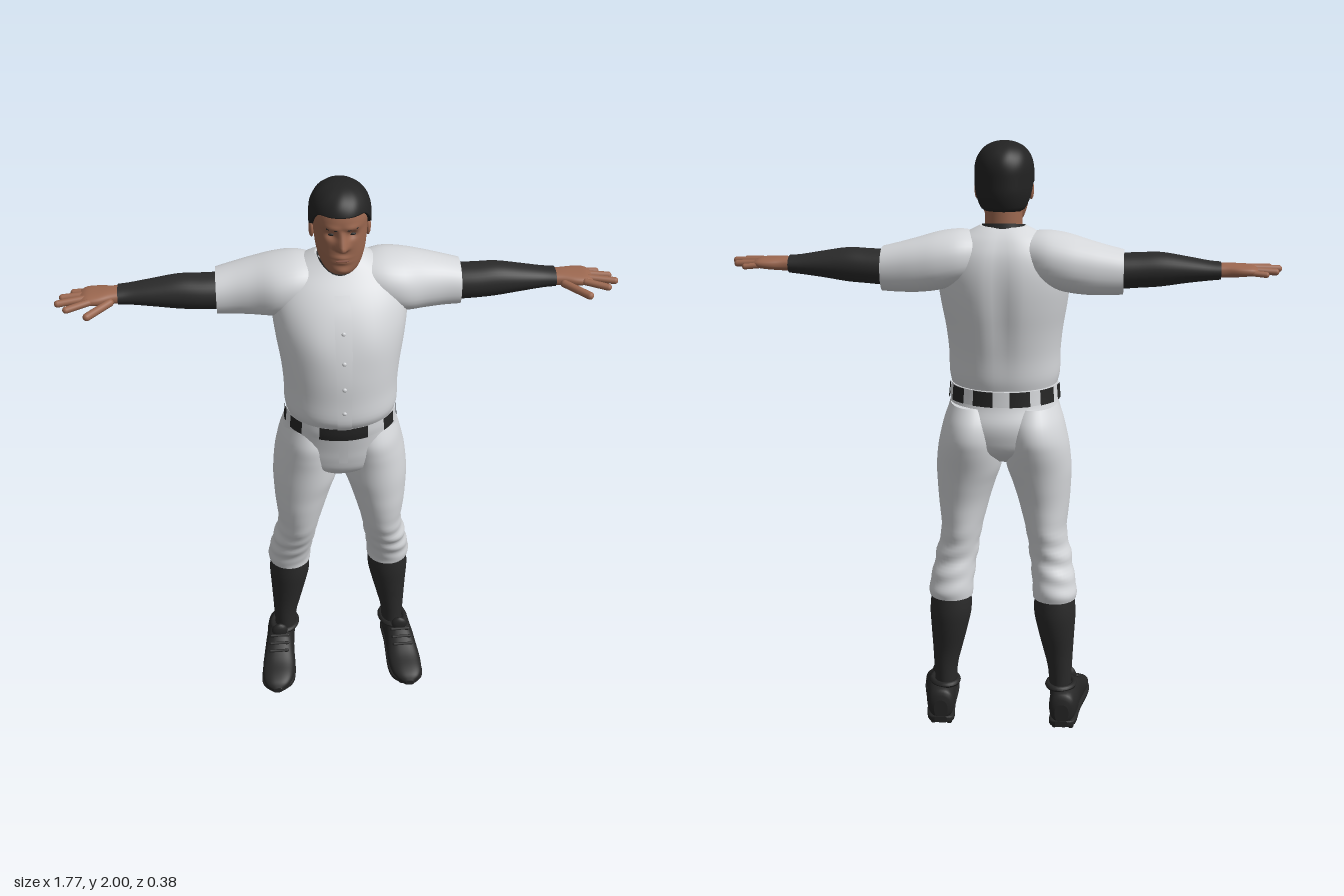
import * as THREE from 'three';

const mat = (name, color) => Object.assign(new THREE.MeshStandardMaterial({ color }), { name });
const cloth = mat('white cloth', 0xd6d8db);
const dark = mat('black knit', 0x2a2a2a);
const leather = mat('black leather', 0x252525);
const hairMat = mat('dark hair', 0x222222);
const skin = mat('skin', 0x9c6850);
const lipMat = mat('lips', 0x8a5545);

const gauss = (d, w) => Math.exp(-(d * d) / (w * w));

// Smoothly interpolates the rows of numbers that describe a cross-section.
function smoothRows(rows, sub) {
  const out = [];
  for (let i = 0; i < rows.length - 1; i++) {
    const [a, b, c, d] = [rows[Math.max(i - 1, 0)], rows[i], rows[i + 1], rows[Math.min(i + 2, rows.length - 1)]];
    for (let k = 0; k < sub; k++) {
      const t = k / sub;
      out.push(b.map((_, j) => b[j] + 0.5 * t * (c[j] - a[j] + t * (2 * a[j] - 5 * b[j] + 4 * c[j] - d[j]
        + t * (3 * (b[j] - c[j]) + d[j] - a[j])))));
    }
  }
  out.push(rows[rows.length - 1]);
  return out;
}

// Skins superelliptic sections along an axis. Row: [position, uMin, uMax, vMin, vMax];
// u, v are x, z for axis y; y, z for axis x; x, y for axis z.
function loft(axis, rows, { n = 2, seg = 36, sub = 4, from = 0, to = Math.PI * 2, grow = 0, rule, cap = true } = {}) {
  const place = { x: (p, u, v) => [p, u, v], y: (p, u, v) => [u, p, v], z: (p, u, v) => [u, v, p] }[axis];
  const list = smoothRows(rows, sub), pos = [], idx = [];
  const tri = (a, b, c) => (axis === 'y' ? idx.push(a, c, b) : idx.push(a, b, c));
  const sp = (c) => Math.sign(c) * Math.abs(c) ** (2 / n);
  const put = (p, u, v) => {
    const q = new THREE.Vector3(...place(p, u, v));
    if (rule) rule(q);
    pos.push(q.x, q.y, q.z);
  };
  const ring = ([p, u0, u1, v0, v1]) => {
    for (let j = 0; j <= seg; j++) {
      const a = from + (to - from) * j / seg;
      put(p, (u0 + u1) / 2 + ((u1 - u0) / 2 + grow) * sp(Math.cos(a)),
        (v0 + v1) / 2 + ((v1 - v0) / 2 + grow) * sp(Math.sin(a)));
    }
  };
  list.forEach(ring);
  const w = seg + 1;
  for (let i = 0; i < list.length - 1; i++) {
    for (let j = 0; j < seg; j++) {
      const a = i * w + j;
      tri(a, a + 1, a + w + 1);
      tri(a, a + w + 1, a + w);
    }
  }
  if (cap) {
    for (const end of [0, 1]) {
      const r = list[end ? list.length - 1 : 0], base = pos.length / 3;
      ring(r);
      put(r[0], (r[1] + r[2]) / 2, (r[3] + r[4]) / 2);
      for (let j = 0; j < seg; j++) {
        if (end) tri(base + w, base + j, base + j + 1);
        else tri(base + w, base + j + 1, base + j);
      }
    }
  }
  const g = new THREE.BufferGeometry();
  g.setAttribute('position', new THREE.Float32BufferAttribute(pos, 3));
  g.setIndex(idx);
  g.computeVertexNormals();
  // Weld the normals along the seam of closed rings
  if (to - from > 6.28) {
    const N = g.attributes.normal, a = new THREE.Vector3(), b = new THREE.Vector3();
    for (let i = 0; i < list.length; i++) {
      a.fromBufferAttribute(N, i * w).add(b.fromBufferAttribute(N, i * w + seg)).normalize();
      N.setXYZ(i * w, a.x, a.y, a.z);
      N.setXYZ(i * w + seg, a.x, a.y, a.z);
    }
  }
  return g;
}

function mirrored(geo) {
  const g = geo.clone().scale(-1, 1, 1), ix = g.index.array;
  for (let i = 0; i < ix.length; i += 3) [ix[i], ix[i + 1]] = [ix[i + 1], ix[i]];
  const N = g.attributes.normal;
  const P = geo.attributes.normal;
  for (let i = 0; i < N.count; i++) N.setXYZ(i, -P.getX(i), P.getY(i), P.getZ(i));
  return g;
}

// Tapered rounded rod between two points
function rod(a, b, r) {
  const A = new THREE.Vector3(...a), d = new THREE.Vector3(...b).sub(A);
  const g = new THREE.CapsuleGeometry(r, d.length() - r, 6, 12);
  g.applyQuaternion(new THREE.Quaternion().setFromUnitVectors(new THREE.Vector3(0, 1, 0), d.clone().normalize()));
  return g.translate(A.x + d.x / 2, A.y + d.y / 2, A.z + d.z / 2);
}
const blob = (x, y, z, sx, sy, sz) => new THREE.SphereGeometry(1, 16, 10).scale(sx, sy, sz).translate(x, y, z);
const sym = (rows) => rows.map(([y, h, b, f]) => [y, -h, h, b, f]);

export function createModel() {
  const model = new THREE.Group();
  const add = (name, geo, m) => {
    const mesh = new THREE.Mesh(geo, m);
    mesh.name = name;
    model.add(mesh);
  };
  const pair = (name, geo, m) => {
    add(name + 'Left', geo, m);
    add(name + 'Right', mirrored(geo), m);
  };

  // Jersey with button strip
  const torso = sym([[1.215, 0.176, -0.145, 0.165], [1.25, 0.183, -0.152, 0.18], [1.32, 0.184, -0.158, 0.178],
    [1.4, 0.192, -0.17, 0.175], [1.48, 0.205, -0.182, 0.162], [1.55, 0.213, -0.187, 0.14], [1.61, 0.21, -0.184, 0.11],
    [1.66, 0.19, -0.172, 0.072], [1.7, 0.15, -0.15, 0.03], [1.725, 0.105, -0.128, 0.008], [1.74, 0.075, -0.108, -0.005]]);
  const chest = (q) => {
    if (q.z > 0) q.z += 0.007 * gauss(Math.abs(q.x) - 0.09, 0.06) * gauss(q.y - 1.52, 0.08);
    else q.z += 0.014 * gauss(q.x, 0.035) * gauss(q.y - 1.5, 0.2);
  };
  add('jerseyBody', loft('y', torso, { seg: 56, n: 2.1, rule: chest }), cloth);
  add('buttonStrip', loft('y', torso.slice(0, 8), { from: 1.46, to: 1.68, seg: 6, grow: 0.006, n: 2.1, cap: false }), cloth);
  [[1.29, 0.185], [1.38, 0.183], [1.47, 0.172], [1.56, 0.141]].forEach(([y, z]) =>
    add('button', blob(0, y, z, 0.007, 0.007, 0.005), cloth));

  // Sleeves and arms
  pair('sleeve', loft('x', [[0.06, 1.58, 1.715, -0.14, 0.02], [0.13, 1.555, 1.727, -0.175, 0.045],
    [0.2, 1.535, 1.72, -0.184, 0.045], [0.27, 1.528, 1.702, -0.178, 0.015], [0.33, 1.528, 1.686, -0.168, -0.002],
    [0.385, 1.53, 1.672, -0.158, -0.008]], { n: 2.2 }), cloth);
  pair('undersleeve', loft('x', [[0.36, 1.545, 1.66, -0.14, -0.015], [0.43, 1.55, 1.662, -0.135, -0.012],
    [0.5, 1.555, 1.664, -0.13, -0.015], [0.58, 1.567, 1.652, -0.122, -0.022], [0.65, 1.576, 1.64, -0.115, -0.03],
    [0.69, 1.58, 1.636, -0.112, -0.03]]), dark);

  // Hands
  pair('palm', loft('x', [[0.67, 1.587, 1.63, -0.105, -0.036], [0.71, 1.587, 1.631, -0.105, -0.03],
    [0.75, 1.59, 1.629, -0.113, -0.018], [0.785, 1.594, 1.626, -0.112, -0.016], [0.805, 1.603, 1.618, -0.1, -0.025]],
  { n: 2.5 }), skin);
  [['indexFinger', [0.775, 1.612, -0.024], [0.852, 1.606, 0.01], 0.011],
    ['middleFinger', [0.78, 1.613, -0.047], [0.88, 1.608, -0.026], 0.0115],
    ['ringFinger', [0.775, 1.611, -0.073], [0.868, 1.605, -0.067], 0.011],
    ['littleFinger', [0.765, 1.608, -0.098], [0.835, 1.602, -0.103], 0.0095],
    ['thumb', [0.71, 1.605, -0.032], [0.787, 1.597, 0.043], 0.0125]]
    .forEach(([name, a, b, r]) => pair(name, rod(a, b, r), skin));

  // Hips, belt and trouser legs
  const hips = sym([[0.95, 0.1, -0.07, 0.06], [1.0, 0.19, -0.145, 0.112], [1.05, 0.205, -0.165, 0.128],
    [1.1, 0.195, -0.168, 0.136], [1.15, 0.181, -0.15, 0.145], [1.19, 0.175, -0.142, 0.152], [1.225, 0.172, -0.14, 0.15]]);
  add('trouserHips', loft('y', hips, { seg: 48 }), cloth);
  const band = sym([[1.162, 0.179, -0.148, 0.151], [1.185, 0.177, -0.146, 0.155], [1.212, 0.175, -0.144, 0.156]]);
  add('beltLoops', loft('y', band, { grow: 0.003, seg: 48 }), cloth);
  [[0, 0.44], [0.98, 0.17], [1.6, 0.24], [2.2, 0.19], [2.8, 0.19], [-0.98, 0.17], [-1.6, 0.24], [-2.2, 0.19], [-2.8, 0.19]]
    .forEach(([c, h]) => add('beltSegment', loft('y', band,
      { from: Math.PI / 2 + c - h, to: Math.PI / 2 + c + h, seg: 12, grow: 0.007, cap: false }), leather));
  add('fly', loft('y', hips.slice(2, 5), { from: 1.5, to: 1.64, seg: 4, grow: 0.005, cap: false }), cloth);
  const folds = (q) => {
    const k = 0.004 * gauss(q.y - 0.6, 0.1) * Math.sin(q.y * 95 + q.x * 25);
    q.z += k * Math.sign(q.z + 0.05) * Math.min(1, Math.abs(q.z + 0.05) / 0.03);
    q.x += k * 0.6;
  };
  pair('trouserLeg', loft('y', [[0.472, 0.104, 0.25, -0.15, 0], [0.5, 0.102, 0.253, -0.152, 0.004],
    [0.55, 0.098, 0.243, -0.14, 0.022], [0.62, 0.088, 0.23, -0.122, 0.052], [0.7, 0.075, 0.214, -0.127, 0.085],
    [0.8, 0.05, 0.222, -0.131, 0.105], [0.87, 0.029, 0.226, -0.143, 0.112], [0.93, 0.009, 0.227, -0.157, 0.118],
    [1, 0.001, 0.22, -0.178, 0.122], [1.05, 0.002, 0.21, -0.186, 0.126], [1.1, 0.006, 0.197, -0.174, 0.126],
    [1.15, 0.02, 0.178, -0.14, 0.11]], { rule: folds, sub: 6 }), cloth);

  // Stockings
  pair('stocking', loft('y', [[0.1, 0.165, 0.235, -0.12, -0.03], [0.2, 0.158, 0.24, -0.124, -0.028],
    [0.27, 0.142, 0.243, -0.13, -0.024], [0.35, 0.122, 0.247, -0.145, -0.014], [0.42, 0.108, 0.25, -0.152, -0.006],
    [0.49, 0.11, 0.244, -0.145, -0.006]]), dark);

  // Shoes with tongue, laces, sole and studs, turned slightly outward
  const splay = (q) => { q.x += 0.216 + 0.1 * (q.z + 0.1); };
  const turn = (g) => {
    const p = g.attributes.position, q = new THREE.Vector3();
    for (let i = 0; i < p.count; i++) {
      q.fromBufferAttribute(p, i);
      splay(q);
      p.setXYZ(i, q.x, q.y, q.z);
    }
    g.computeVertexNormals();
    return g;
  };
  pair('shoeUpper', loft('z', [[-0.163, -0.024, 0.024, 0.035, 0.1], [-0.15, -0.043, 0.043, 0.027, 0.132],
    [-0.11, -0.05, 0.05, 0.025, 0.142], [-0.06, -0.05, 0.05, 0.025, 0.147], [-0.02, -0.052, 0.052, 0.025, 0.145],
    [0.03, -0.056, 0.056, 0.025, 0.118], [0.08, -0.059, 0.059, 0.025, 0.09], [0.13, -0.054, 0.054, 0.025, 0.074],
    [0.16, -0.038, 0.038, 0.027, 0.06], [0.175, -0.015, 0.015, 0.032, 0.044]], { n: 2.4, rule: splay }), leather);
  pair('shoeCollar', turn(new THREE.TorusGeometry(0.045, 0.01, 8, 24).rotateX(Math.PI / 2).scale(1, 1, 1.15)
    .translate(-0.015, 0.142, -0.075)), leather);
  pair('shoeTongue', turn(blob(0, 0.148, -0.02, 0.03, 0.03, 0.016)), leather);
  [[-0.005, 0.143], [0.02, 0.128], [0.045, 0.114]].forEach(([z, y]) =>
    pair('lace', turn(rod([-0.034, y - 0.008, z], [0.034, y - 0.008, z], 0.006)), leather));
  pair('shoeSole', loft('z', [[-0.166, -0.022, 0.022, 0.017, 0.04], [-0.145, -0.046, 0.046, 0.016, 0.04],
    [-0.05, -0.05, 0.05, 0.02, 0.042], [0.08, -0.062, 0.062, 0.016, 0.04], [0.14, -0.053, 0.053, 0.018, 0.042],
    [0.177, -0.014, 0.014, 0.024, 0.044]], { n: 4, rule: splay }), leather);
  [[-0.028, -0.13], [0.028, -0.13], [-0.03, -0.08], [0.03, -0.08], [-0.04, 0.04], [0.04, 0.04], [-0.042, 0.09],
    [0.042, 0.09], [-0.022, 0.135], [0.022, 0.135]].forEach(([x, z]) =>
    pair('stud', turn(new THREE.CylinderGeometry(0.012, 0.009, 0.024, 8).translate(x, 0.012, z)), leather));

  // Neck and undershirt collar, lower in front
  add('neck', loft('y', sym([[1.66, 0.066, -0.1, 0.02], [1.74, 0.06, -0.1, 0.012], [1.84, 0.06, -0.098, 0.03]])), skin);
  add('undershirtCollar', loft('y', sym([[1.685, 0.086, -0.116, 0.05], [1.715, 0.077, -0.112, 0.03],
    [1.745, 0.069, -0.106, 0.021]]), { rule: (q) => { q.y -= 0.18 * (q.z + 0.06); } }), dark);

  // Head with nose, eye sockets, lips and chin
  const face = (q) => {
    if (q.z < 0.02) return;
    const ax = Math.abs(q.x);
    q.z -= 0.012 * gauss(ax - 0.031, 0.016) * gauss(q.y - 1.872, 0.013);
    q.z += 0.005 * gauss(ax - 0.03, 0.025) * gauss(q.y - 1.897, 0.01);
    const down = THREE.MathUtils.clamp((1.89 - q.y) / 0.05, 0, 1) * THREE.MathUtils.smoothstep(q.y, 1.815, 1.832);
    q.z += 0.029 * down * gauss(q.x, 0.009 + 0.007 * down);
    q.z += 0.006 * gauss(q.x, 0.024) * (gauss(q.y - 1.797, 0.007) + gauss(q.y - 1.782, 0.006));
    q.z += 0.006 * gauss(q.x, 0.022) * gauss(q.y - 1.752, 0.012);
  };
  add('head', loft('y', sym([[1.728, 0.022, 0, 0.062], [1.738, 0.044, -0.025, 0.08], [1.76, 0.061, -0.05, 0.086],
    [1.8, 0.074, -0.07, 0.088], [1.84, 0.08, -0.09, 0.09], [1.88, 0.083, -0.105, 0.091], [1.92, 0.083, -0.11, 0.092],
    [1.955, 0.07, -0.09, 0.078], [1.975, 0.04, -0.05, 0.04]]), { seg: 96, sub: 8, n: 2.2, rule: face }), skin);
  add('mouth', blob(0, 1.789, 0.0925, 0.022, 0.0035, 0.003), lipMat);
  pair('eye', blob(0.031, 1.872, 0.074, 0.011, 0.0045, 0.0045), hairMat);
  pair('eyebrow', rod([0.016, 1.892, 0.0905], [0.046, 1.895, 0.079], 0.0038), hairMat);
  pair('ear', blob(0.086, 1.848, -0.018, 0.009, 0.031, 0.018), skin);

  // Hair: low at the nape, high over the forehead, with short sideburns
  const hairRows = [], rings = 20;
  for (let i = 0; i <= rings; i++) {
    const t = i / rings;
    hairRows.push([t, -1, 1, -1, 1]);
  }
  const hairShape = (q) => {
    const a = Math.atan2(q.z, q.x), f = Math.sin(a), t = q.y;
    const low = f > 0 ? 1.87 + 0.062 * THREE.MathUtils.smoothstep(f, 0.1, 0.75)
      : 1.87 - 0.085 * THREE.MathUtils.smoothstep(-f, 0.12, 0.6);
    const y = low + (2 - low) * Math.sin(t * Math.PI / 2);
    const up = Math.max(0, (y - 1.9) / 0.1), r = Math.max(0, 1 - up ** 2.4) ** (1 / 2.2);
    const tuck = (t < 0.02 ? 0.88 : 1) * (1 - 0.2 * Math.max(0, (1.86 - y) / 0.08) ** 2);
    const tousle = 1 + 0.012 * Math.sin(a * 9 + y * 60) * up;
    const hasCentre = Math.hypot(q.x, q.z) < 0.1 ? 0 : 1;
    q.set(0.095 * Math.cos(a) * r * tuck * tousle * hasCentre, y, -0.012 + (f > 0 ? 0.112 : 0.113) * f * r * tuck * tousle * hasCentre);
  };
  const shell = hairMat.clone();
  shell.side = THREE.DoubleSide;
  add('hair', loft('y', hairRows, { seg: 64, sub: 2, rule: hairShape, cap: false }), shell);
  return model;
}
